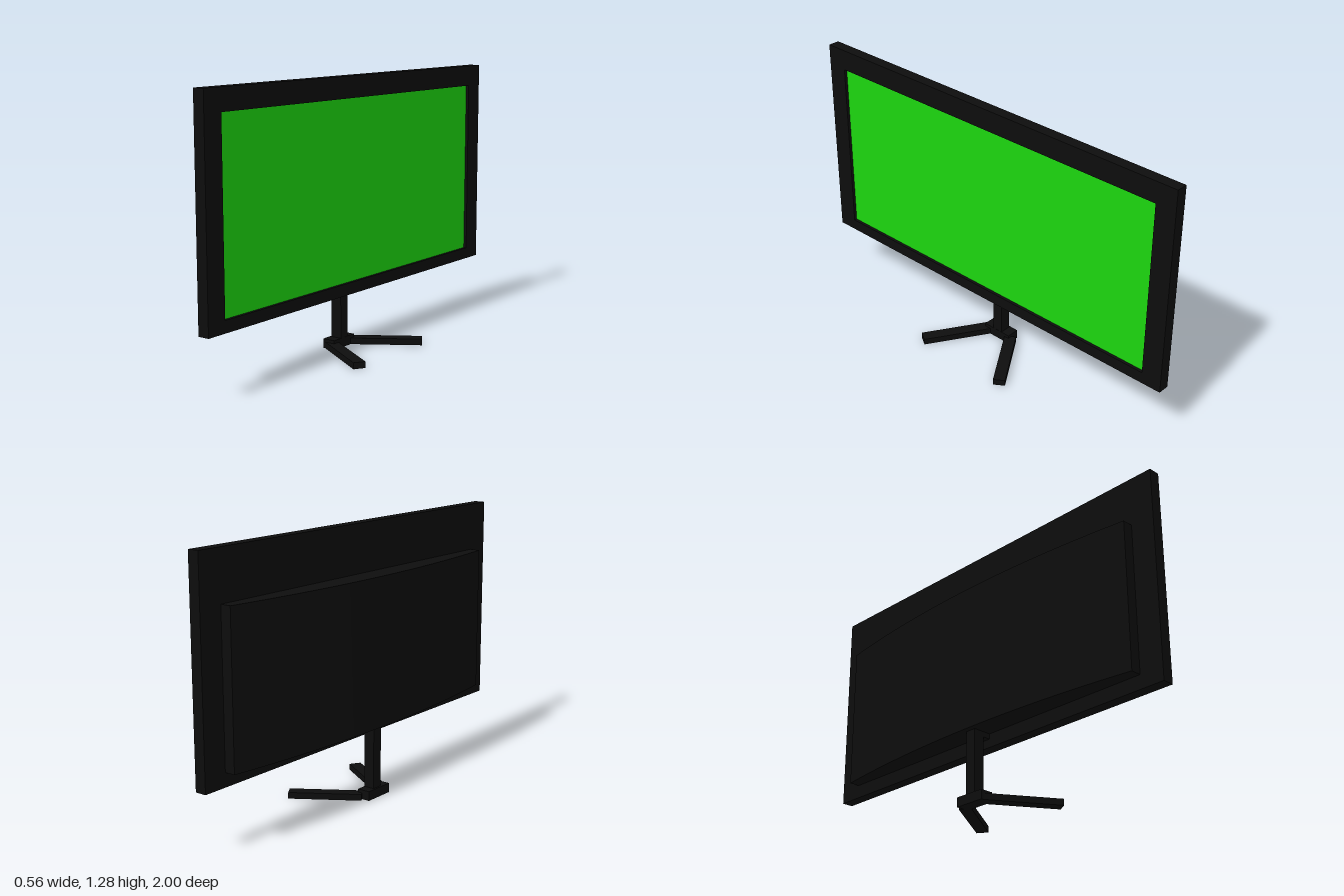
import * as THREE from 'three';
import { toCreasedNormals } from 'three/addons/utils/BufferGeometryUtils.js';

const black = new THREE.MeshStandardMaterial({ color: 0x0d0d0d });
const green = new THREE.MeshStandardMaterial({ color: 0x1cd60f });

function addMesh(parent, name, geometry, material = black) {
  const mesh = new THREE.Mesh(geometry, material);
  mesh.name = name;
  parent.add(mesh);
  return mesh;
}

function addBox(parent, name, [w, h, d], [x, y, z], material) {
  const mesh = addMesh(parent, name, new THREE.BoxGeometry(w, h, d), material);
  mesh.position.set(x, y, z);
  return mesh;
}

const rect = (path, x, y0, y1) =>
  path.moveTo(-x, y0).lineTo(x, y0).lineTo(x, y1).lineTo(-x, y1).closePath();

// Flat leg from a start point to an end point on the ground (x, z)
function addLeg(parent, name, [x0, z0], [x1, z1]) {
  const length = Math.hypot(x1 - x0, z1 - z0);
  const leg = addBox(parent, name, [length, 0.03, 0.057], [(x0 + x1) / 2, 0.015, (z0 + z1) / 2]);
  leg.rotation.y = -Math.atan2(z1 - z0, x1 - x0);
}

export function createModel() {
  const model = new THREE.Group();
  model.name = 'monitor';

  // Everything but the legs sits in a frame whose +x is the screen direction
  const body = new THREE.Group();
  body.name = 'monitorBody';
  body.position.x = 0.0115;
  body.rotation.y = 0.237;
  model.add(body);

  // Bezel with an opening, and the screen set back inside it
  const outline = rect(new THREE.Shape(), 1.0225, 0.28, 1.28);
  outline.holes.push(rect(new THREE.Path(), 0.923, 0.335, 1.18));
  const bezel = new THREE.ExtrudeGeometry(outline, { depth: 0.055, bevelEnabled: false });
  bezel.translate(0, 0, -0.0275).rotateY(Math.PI / 2);
  addMesh(body, 'bezel', bezel);
  addBox(body, 'screen', [0.02, 0.845, 1.846], [0.003, 0.7575, 0], green);
  addBox(body, 'backPanel', [0.0195, 0.845, 1.846], [-0.01775, 0.7575, 0]);

  // Bowed rear housing
  const half = 0.905;
  const profile = new THREE.Shape();
  profile.moveTo(-0.0275, half);
  for (let i = 0; i <= 24; i++) {
    const t = 1 - i / 12;
    profile.lineTo(-0.147 + 0.068 * t * t, half * t);
  }
  profile.lineTo(-0.0275, -half);
  profile.closePath();
  const housing = new THREE.ExtrudeGeometry(profile, { depth: 0.705, bevelEnabled: false });
  housing.rotateX(-Math.PI / 2).translate(0, 0.345, 0);
  addMesh(body, 'rearHousing', toCreasedNormals(housing, 0.5));

  // Stand
  addBox(body, 'post', [0.054, 0.31, 0.054], [-0.092, 0.195, 0.006]);
  addBox(body, 'postBracket', [0.09, 0.025, 0.054], [-0.072, 0.3325, 0.006]);
  addBox(body, 'baseHub', [0.064, 0.045, 0.154], [-0.096, 0.0225, 0.009]);
  addLeg(model, 'rightLeg', [-0.084, -0.042], [0.15, -0.2925]);
  addLeg(model, 'leftLeg', [-0.075, 0.083], [0.27, 0.195]);

  return model;
}
